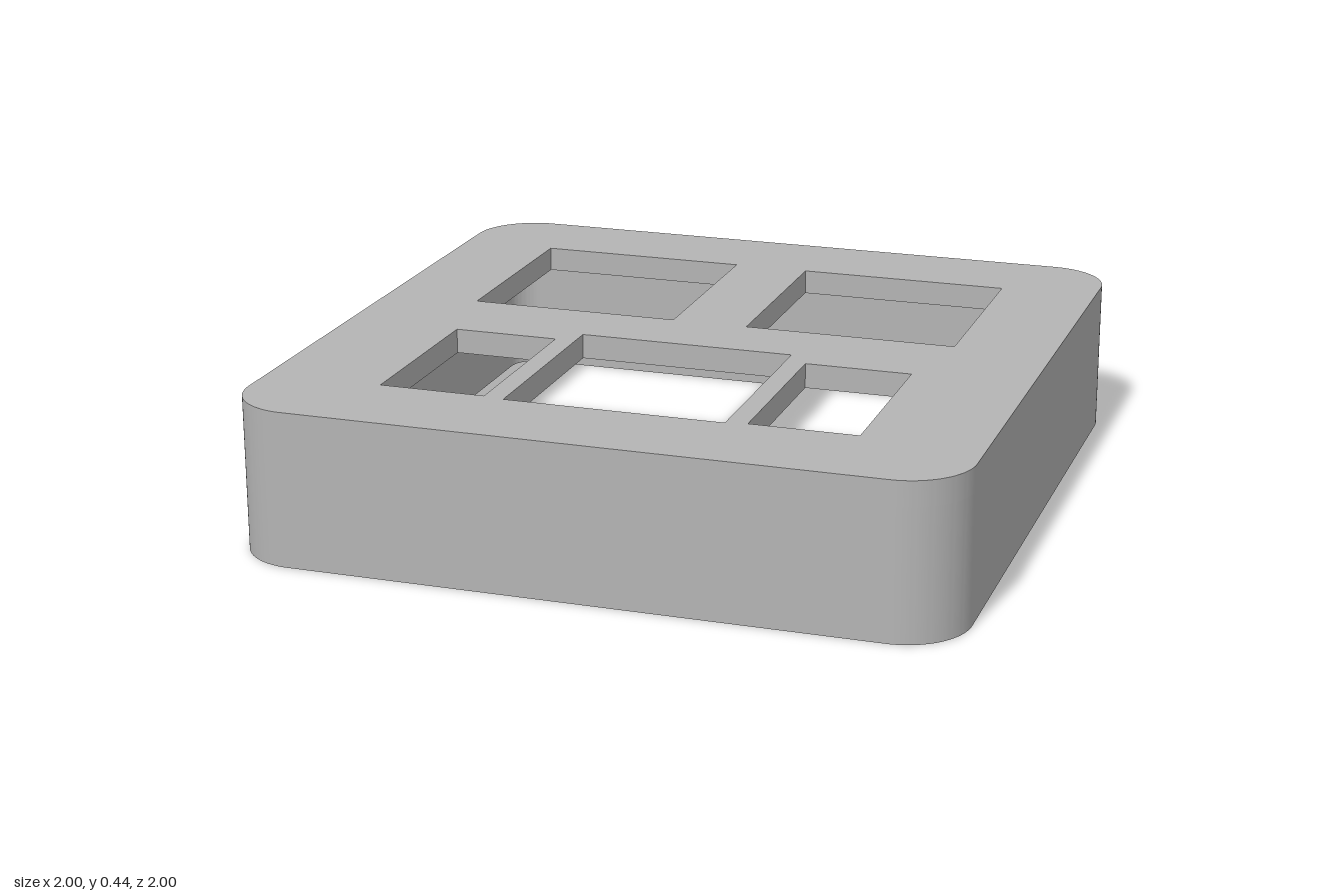
import * as THREE from 'three';
import { toCreasedNormals } from 'three/addons/utils/BufferGeometryUtils.js';

const HEIGHT = 0.436, PLATE = 0.07, WALL = 0.1, RADIUS = 0.18;

// Trace a rounded square of half-width h and corner radius r
function roundedSquare(path, h, r) {
  const k = h - r;
  path.moveTo(-k, -h);
  path.absarc(k, -k, r, -Math.PI / 2, 0);
  path.absarc(k, k, r, 0, Math.PI / 2);
  path.absarc(-k, k, r, Math.PI / 2, Math.PI);
  path.absarc(-k, -k, r, Math.PI, Math.PI * 1.5);
  path.closePath();
  return path;
}

function rectHole(x0, x1, z0, z1) {
  return new THREE.Path([[x0, z0], [x1, z0], [x1, z1], [x0, z1]]
    .map(([x, z]) => new THREE.Vector2(x, z)));
}

// Extrude a plan shape (x, z) downward from the given top height
function slab(name, shape, top, depth, material) {
  const geometry = new THREE.ExtrudeGeometry(shape, { depth, bevelEnabled: false, curveSegments: 16 });
  geometry.rotateX(Math.PI / 2).translate(0, top, 0);
  const mesh = new THREE.Mesh(toCreasedNormals(geometry, Math.PI / 6), material);
  mesh.name = name;
  return mesh;
}

export function createModel() {
  const group = new THREE.Group();
  group.name = 'openCover';
  const grey = new THREE.MeshStandardMaterial({ color: 0xb4b4b4 });
  grey.name = 'grey';

  // Top plate with five rectangular openings
  const plate = roundedSquare(new THREE.Shape(), 1, RADIUS);
  plate.holes.push(rectHole(-0.308, 0.308, 0.106, 0.716));
  for (const s of [-1, 1]) {
    plate.holes.push(rectHole(s * 0.11, s * 0.72, -0.72, -0.11));
    plate.holes.push(rectHole(s * 0.367, s * 0.667, 0.17, 0.705));
  }
  group.add(slab('topPlate', plate, HEIGHT, PLATE, grey));

  // Side wall, open underneath
  const wall = roundedSquare(new THREE.Shape(), 1, RADIUS);
  wall.holes.push(roundedSquare(new THREE.Path(), 1 - WALL, RADIUS - WALL));
  group.add(slab('sideWall', wall, HEIGHT - PLATE, HEIGHT - PLATE, grey));

  return group;
}
